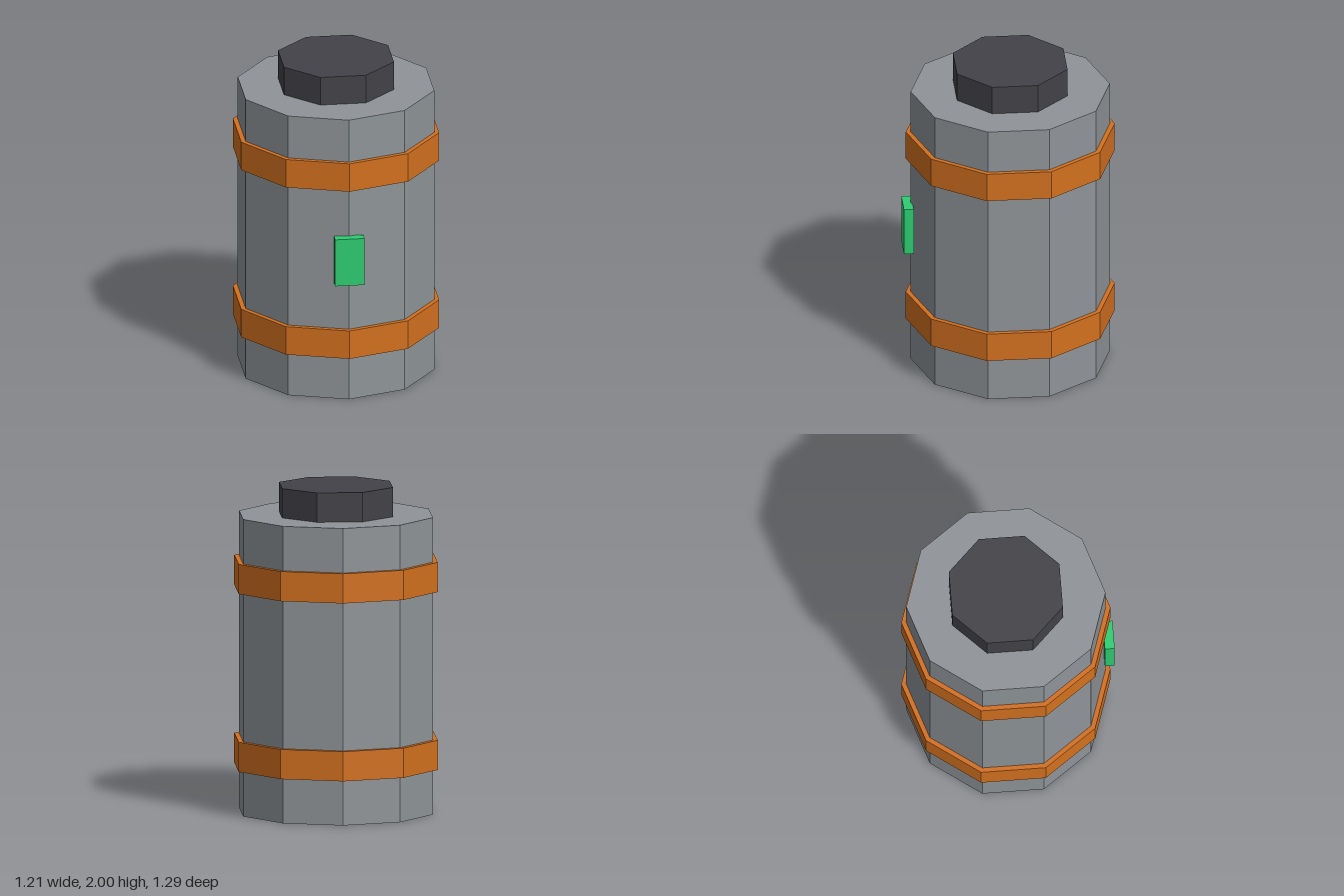
import * as THREE from 'three';

export function createModel() {
  const model = new THREE.Group();
  model.name = 'canister';

  const paint = (name, color) => {
    const m = new THREE.MeshStandardMaterial({ color });
    m.name = name;
    m.flatShading = true;
    return m;
  };
  const grey = paint('greyMetal', 0x8f9498);
  const orange = paint('orangeBand', 0xd2701f);
  const dark = paint('darkCap', 0x434248);
  const green = paint('greenLight', 0x2ecc71);

  const centreZ = -0.01;

  // Faceted upright cylinder spanning y0 to y1
  function prism(name, radius, y0, y1, sides, material, turn = 0) {
    const geometry = new THREE.CylinderGeometry(radius, radius, y1 - y0, sides);
    const mesh = new THREE.Mesh(geometry, material);
    mesh.name = name;
    mesh.rotation.y = turn;
    mesh.position.set(0, (y0 + y1) / 2, centreZ);
    model.add(mesh);
  }

  // Ten-sided tank with an octagonal cap
  prism('body', 0.606, 0, 1.82, 10, grey);
  prism('cap', 0.364, 1.82, 2, 8, dark, Math.PI / 8);

  // Two raised bands
  prism('lowerBand', 0.636, 0.275, 0.457, 10, orange);
  prism('upperBand', 0.636, 1.365, 1.547, 10, orange);

  // Indicator block on the front edge
  const indicator = new THREE.Mesh(new THREE.BoxGeometry(0.18, 0.303, 0.06), green);
  indicator.name = 'indicator';
  indicator.position.set(0, 0.912, 0.615);
  model.add(indicator);

  return model;
}
